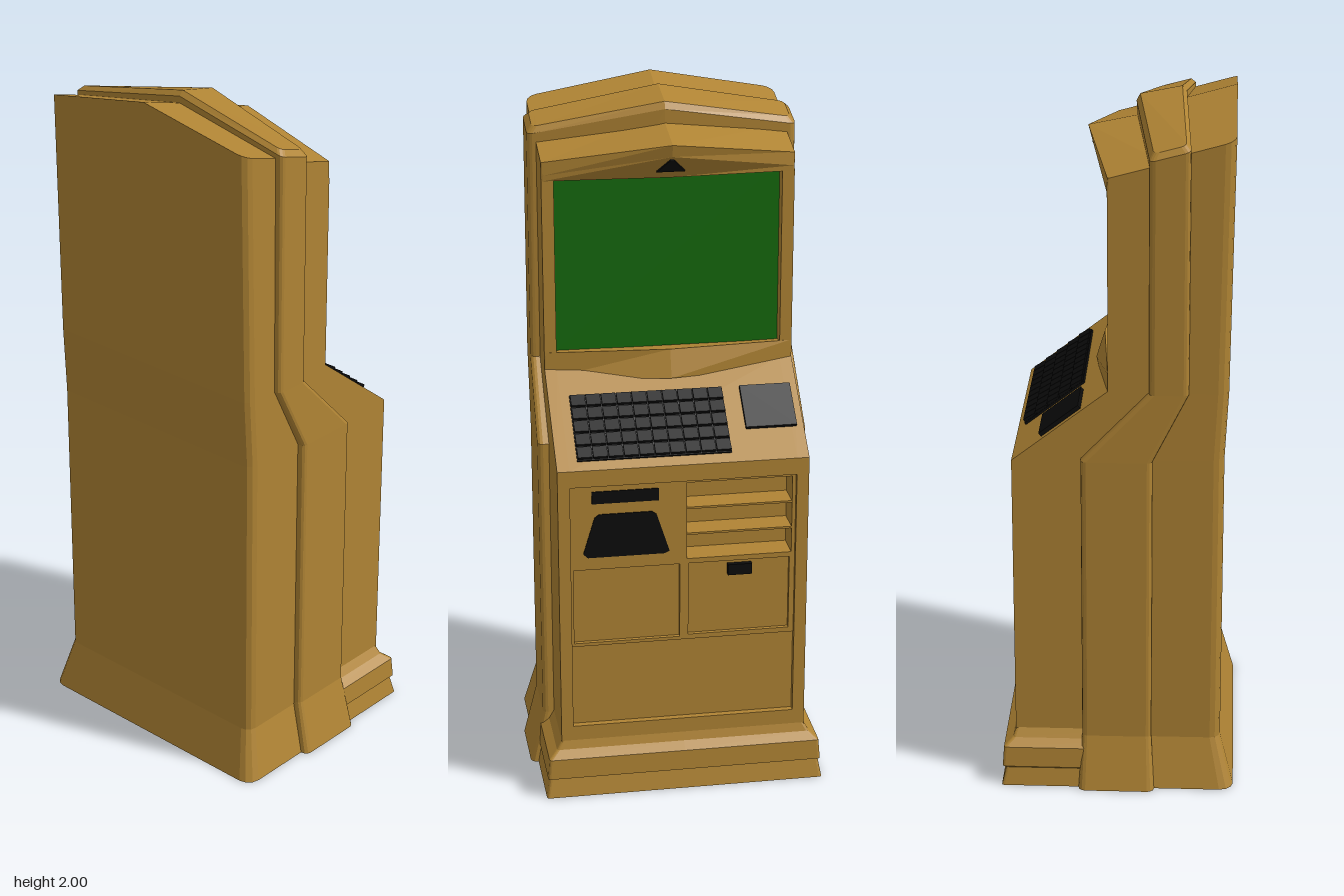
import * as THREE from 'three';

const material = (color) => new THREE.MeshStandardMaterial({ color, flatShading: true, side: THREE.DoubleSide });

// Horizontal outline at one height: rounded corners, optional bowed front and ridged top.
// y is given at the front edge; rise lifts the middle, tilt slopes it from front to back.
function outline({ y, x0, x1, hz, c = 0.03, cf = c, bow = 0, rise = 0, tilt = 0 }) {
  const half = [];
  for (let i = 0; i <= 3; i++) {
    const a = (i / 3) * Math.PI / 2;
    half.push([1 - Math.sin(a), hz - c * (1 - Math.cos(a))]);
  }
  const chain = [
    ...half.map(([k, z]) => [k, -z]),
    [0, 0],
    ...half.slice().reverse(),
  ];
  const point = (x, z, push) => {
    const t = 1 - Math.abs(z) / hz;
    return [x + push * t, y + rise * t + tilt * (x - x1), z];
  };
  return {
    back: chain.map(([k, z]) => point(x0 + c * k, z, bow * 0.4)),
    front: chain.map(([k, z]) => point(x1 - cf * k, z, bow)),
  };
}

// Skin a stack of outlines and close both ends
function stack(levels) {
  const rings = levels.map(outline);
  const pos = [];
  const quad = (a, b, c, d) => pos.push(...a, ...b, ...c, ...a, ...c, ...d);
  const loops = rings.map((r) => [...r.back, ...r.front.slice().reverse()]);
  for (let r = 0; r + 1 < loops.length; r++) {
    const a = loops[r], b = loops[r + 1], n = a.length;
    for (let i = 0; i < n; i++) {
      const j = (i + 1) % n;
      quad(a[i], a[j], b[j], b[i]);
    }
  }
  const top = rings[rings.length - 1], low = rings[0];
  for (let k = 0; k + 1 < top.back.length; k++) {
    quad(top.back[k], top.back[k + 1], top.front[k + 1], top.front[k]);
    quad(low.front[k], low.front[k + 1], low.back[k + 1], low.back[k]);
  }
  const g = new THREE.BufferGeometry();
  g.setAttribute('position', new THREE.Float32BufferAttribute(pos, 3));
  g.computeVertexNormals();
  return g;
}

const shapeOf = (pts) => new THREE.Shape(pts.map(([x, y]) => new THREE.Vector2(x, y)));

// Side profile (x, y) extruded between two z values
function profile(pts, z0, z1) {
  return new THREE.ExtrudeGeometry(shapeOf(pts), { depth: z1 - z0, bevelEnabled: false }).translate(0, 0, z0);
}

// Front-facing plate drawn as (z, y), reaching from x0 to x1
function plate(pts, x0, x1, holes = []) {
  const s = shapeOf(pts.map(([z, y]) => [-z, y]));
  for (const h of holes) s.holes.push(shapeOf(h.map(([z, y]) => [-z, y])));
  return new THREE.ExtrudeGeometry(s, { depth: x1 - x0, bevelEnabled: false })
    .rotateY(Math.PI / 2).translate(x0, 0, 0);
}

const rect = (z0, z1, y0, y1) => [[z0, y0], [z1, y0], [z1, y1], [z0, y1]];

export function createModel() {
  const model = new THREE.Group();
  model.name = 'kiosk';
  const tan = material(0xb08434), black = material(0x0b0b0b), green = material(0x156a0d);
  const add = (name, geometry, mat = tan, parent = model) => {
    const m = new THREE.Mesh(geometry, mat);
    m.name = name;
    parent.add(m);
    return m;
  };

  // Rear housing with flared foot and ridged roof
  add('rearHousing', stack([
    { y: 0, x0: -0.34, x1: 0, hz: 0.41, c: 0.04 },
    { y: 0.15, x0: -0.3, x1: 0, hz: 0.37 },
    { y: 1.02, x0: -0.3, x1: 0, hz: 0.37 },
    { y: 1.22, x0: -0.31, x1: -0.14, hz: 0.368 },
    { y: 1.887, x0: -0.32, x1: -0.15, hz: 0.363, rise: 0.065, tilt: -0.28 },
  ]));

  // Raised band wrapping over the sides and top
  add('wrapBand', stack([
    { y: 0, x0: -0.11, x1: 0.11, hz: 0.432, c: 0.02 },
    { y: 0.16, x0: -0.1, x1: 0.1, hz: 0.392, c: 0.015 },
    { y: 1.02, x0: -0.1, x1: 0.1, hz: 0.392, c: 0.015 },
    { y: 1.22, x0: -0.2, x1: -0.09, hz: 0.387, c: 0.015 },
    { y: 1.88, x0: -0.2, x1: -0.09, hz: 0.385, c: 0.015, bow: 0.05, rise: 0.07, tilt: -0.27 },
    { y: 1.9, x0: -0.187, x1: -0.1, hz: 0.37, c: 0.015, bow: 0.05, rise: 0.07, tilt: -0.27 },
  ]));

  // Stepped plinth at the front
  const plinth = [[0, 0.335, 0.41], [0.055, 0.322, 0.4], [0.06, 0.332, 0.405],
    [0.12, 0.328, 0.4], [0.14, 0.303, 0.375], [0.165, 0.295, 0.36]];
  add('plinth', stack(plinth.map(([y, x1, hz]) => ({ y, x0: -0.06, x1, hz, c: 0.008 }))));

  // Side cheeks
  const cheek = [[-0.03, 0.15], [0.295, 0.15], [0.295, 1.01], [0.025, 1.22],
    [0.025, 1.78], [-0.12, 1.78], [-0.12, 1.22], [-0.03, 1]];
  add('leftCheek', profile(cheek, 0.325, 0.36));
  add('rightCheek', profile(cheek, -0.36, -0.325));

  // Middle of the cabinet, set back behind the screen and the lower panel
  add('cabinetCore', profile([[-0.03, 0.15], [0.295, 0.15], [0.295, 0.21], [0.2, 0.21], [0.2, 0.96],
    [0.295, 0.96], [0.295, 1.01], [0.025, 1.22], [-0.03, 1.22], [-0.03, 1.78], [-0.12, 1.78],
    [-0.12, 1.22], [-0.03, 1]], -0.325, 0.325));

  // Screen with pointed sill and visor
  add('screen', plate(rect(-0.325, 0.325, 1.26, 1.785), -0.03, -0.015), green);
  add('screenSill', stack([
    { y: 1.19, x0: -0.08, x1: 0.025, hz: 0.36, c: 0.004, bow: 0.05 },
    { y: 1.27, x0: -0.08, x1: 0.025, hz: 0.36, c: 0.004, bow: 0.025, tilt: 0.2 },
  ]));
  add('visor', stack([
    { y: 1.775, x0: -0.13, x1: 0.026, hz: 0.36, c: 0.004, bow: 0.016 },
    { y: 1.79, x0: -0.13, x1: 0.026, hz: 0.36, c: 0.004, bow: 0.06, rise: 0.055 },
    { y: 1.828, x0: -0.13, x1: 0.024, hz: 0.36, c: 0.004, bow: 0.071, rise: 0.052, tilt: -0.27 },
  ]));
  const camera = add('camera', plate([[-0.04, 0], [0.04, 0], [0.005, 0.045], [-0.005, 0.045]], -0.01, 0.004), black);
  camera.position.set(0.057, 1.798, 0);
  camera.rotation.z = -0.55;

  // Lower front panel with openings for the shelves and the two doors
  const leftDoor = rect(0.01, 0.317, 0.47, 0.7), rightDoor = rect(-0.31, -0.015, 0.475, 0.7);
  const shelfBay = rect(-0.315, -0.01, 0.715, 0.95);
  add('middlePanel', plate(rect(-0.325, 0.325, 0.46, 0.96), 0.2, 0.282, [leftDoor, rightDoor, shelfBay]));
  add('lowerPanel', plate(rect(-0.325, 0.325, 0.21, 0.46), 0.2, 0.276));
  add('leftDoor', plate(leftDoor, 0.2, 0.27));
  add('rightDoor', plate(rightDoor, 0.2, 0.27));
  for (const y of [0.79, 0.87]) add('shelf', plate(rect(-0.315, -0.01, y - 0.003, y + 0.003), 0.2, 0.278));
  add('doorHandle', plate(rect(-0.2, -0.13, 0.655, 0.688), 0.265, 0.285), black);
  add('receiptSlot', plate(rect(0.07, 0.262, 0.903, 0.94), 0.275, 0.285), black);
  add('dispenserMouth', plate([[0.04, 0.745], [0.055, 0.738], [0.275, 0.738], [0.288, 0.75],
    [0.255, 0.86], [0.242, 0.87], [0.09, 0.87], [0.077, 0.86]], 0.275, 0.285), black);

  // Keyboard and touch pad lying on the sloped desk
  const desk = new THREE.Group();
  desk.name = 'deskControls';
  desk.position.set(0.025, 1.22, 0);
  desk.rotation.z = -Math.atan2(0.21, 0.27);
  model.add(desk);
  add('keyboardBase', new THREE.BoxGeometry(0.215, 0.008, 0.44).translate(0.204, 0.003, 0.08), black, desk);
  for (let r = 0; r < 5; r++) {
    for (let k = 0; k < 10; k++) {
      const key = add('key', new THREE.BoxGeometry(0.038, 0.01, 0.041), black, desk);
      key.position.set(0.118 + r * 0.043, 0.01, -0.118 + k * 0.044);
      key.rotation.z = 0.12;
    }
  }
  add('touchPad', new THREE.BoxGeometry(0.14, 0.014, 0.147).translate(0.167, 0.005, -0.265), black, desk);

  return model;
}
